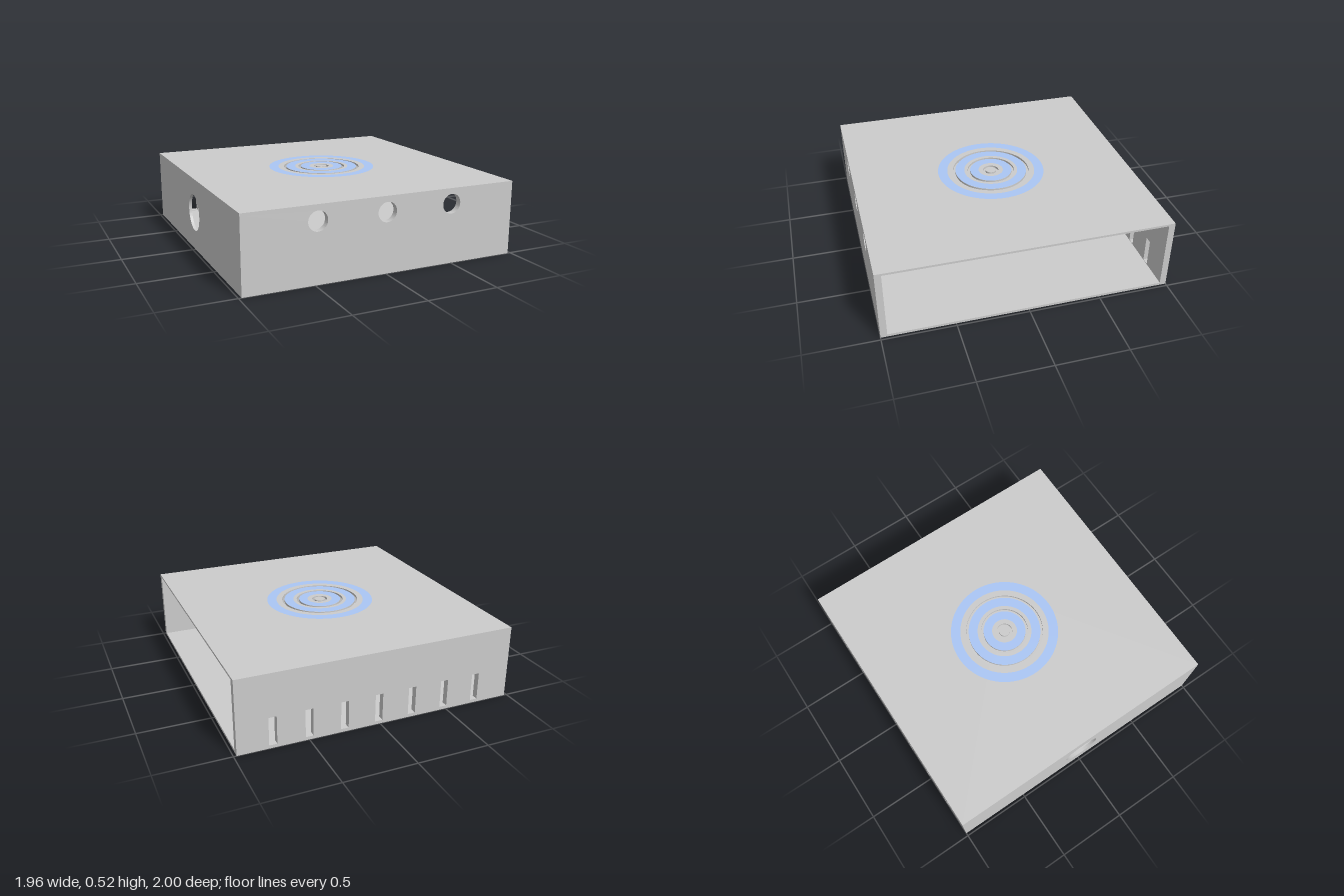
import * as THREE from 'three';
import { toCreasedNormals } from 'three/addons/utils/BufferGeometryUtils.js';

const W = 0.98, D = 1, H = 0.52;         // half width, half depth, height
const FLOOR = 0.018, ROOF = 0.015;       // plate thicknesses
const WALL = 0.045, SIDE = 0.02;         // front/back and left wall thicknesses
const CX = 0.005;                        // centre of the rings and holes

const grey = new THREE.MeshStandardMaterial({ color: 0xcccccc });
const blue = new THREE.MeshStandardMaterial({ color: 0xaac6f5, side: THREE.DoubleSide });

function rect(x0, y0, x1, y1) {
  return new THREE.Shape([[x0, y0], [x1, y0], [x1, y1], [x0, y1]].map(p => new THREE.Vector2(...p)));
}

function circle(x, y, r) {
  return new THREE.Shape().absarc(x, y, r, 0, Math.PI * 2, false);
}

// Flat panel of a given thickness, cut through by the listed holes
function panel(name, shape, holes, depth) {
  shape.holes.push(...holes);
  const geo = new THREE.ExtrudeGeometry(shape, { depth, bevelEnabled: false, curveSegments: 48 });
  const mesh = new THREE.Mesh(toCreasedNormals(geo, 0.5), grey);
  mesh.name = name;
  return mesh;
}

export function createModel() {
  const group = new THREE.Group();
  group.name = 'ventedEnclosure';
  const y0 = FLOOR, y1 = H - ROOF;

  // Floor plate
  const floor = panel('floor', rect(-W, -D, W, D), [], FLOOR);
  floor.rotation.x = -Math.PI / 2;
  group.add(floor);

  // Roof with three concentric ring slots cut through it
  const roof = new THREE.Group();
  roof.name = 'roof';
  roof.add(
    panel('roofPlate', rect(-W, -D, W, D), [circle(CX, 0, 0.278)], ROOF),
    panel('outerRoofRing', circle(CX, 0, 0.26), [circle(CX, 0, 0.17)], ROOF),
    panel('innerRoofRing', circle(CX, 0, 0.152), [circle(CX, 0, 0.056)], ROOF),
    panel('roofCentreDisc', circle(CX, 0, 0.039), [], ROOF)
  );
  roof.rotation.x = -Math.PI / 2;
  roof.position.y = y1;
  group.add(roof);

  // Front wall with three round holes
  const frontHoles = [-0.485, 0, 0.485].map(x => circle(CX + x, 0.413, 0.067));
  const front = panel('frontWall', rect(-W, y0, W, y1), frontHoles, WALL);
  front.position.z = D - WALL;
  group.add(front);

  // Back wall with seven upright vent slots
  const slots = [];
  for (let i = -3; i <= 3; i++) {
    const x = 0.01 + i * 0.244;
    slots.push(rect(x - 0.027, y0 + 0.004, x + 0.027, 0.218));
  }
  const back = panel('backWall', rect(-W, y0, W, y1), slots, WALL);
  back.position.z = -D;
  group.add(back);

  // Closed side wall with one large round hole; the other side stays open
  const inner = D - WALL;
  const side = panel('sideWall', rect(-inner, y0, inner, y1), [circle(0, 0.272, 0.131)], SIDE);
  side.rotation.y = Math.PI / 2;
  side.position.x = -W;
  group.add(side);

  // Blue rings lying on the roof
  [[0.32, 0.388], [0.195, 0.26], [0.09, 0.152]].forEach(([r0, r1]) => {
    const ring = new THREE.Mesh(new THREE.RingGeometry(r0, r1, 96), blue);
    ring.name = 'blueRing';
    ring.rotation.x = -Math.PI / 2;
    ring.position.set(CX, H + 0.001, 0);
    group.add(ring);
  });

  return group;
}
